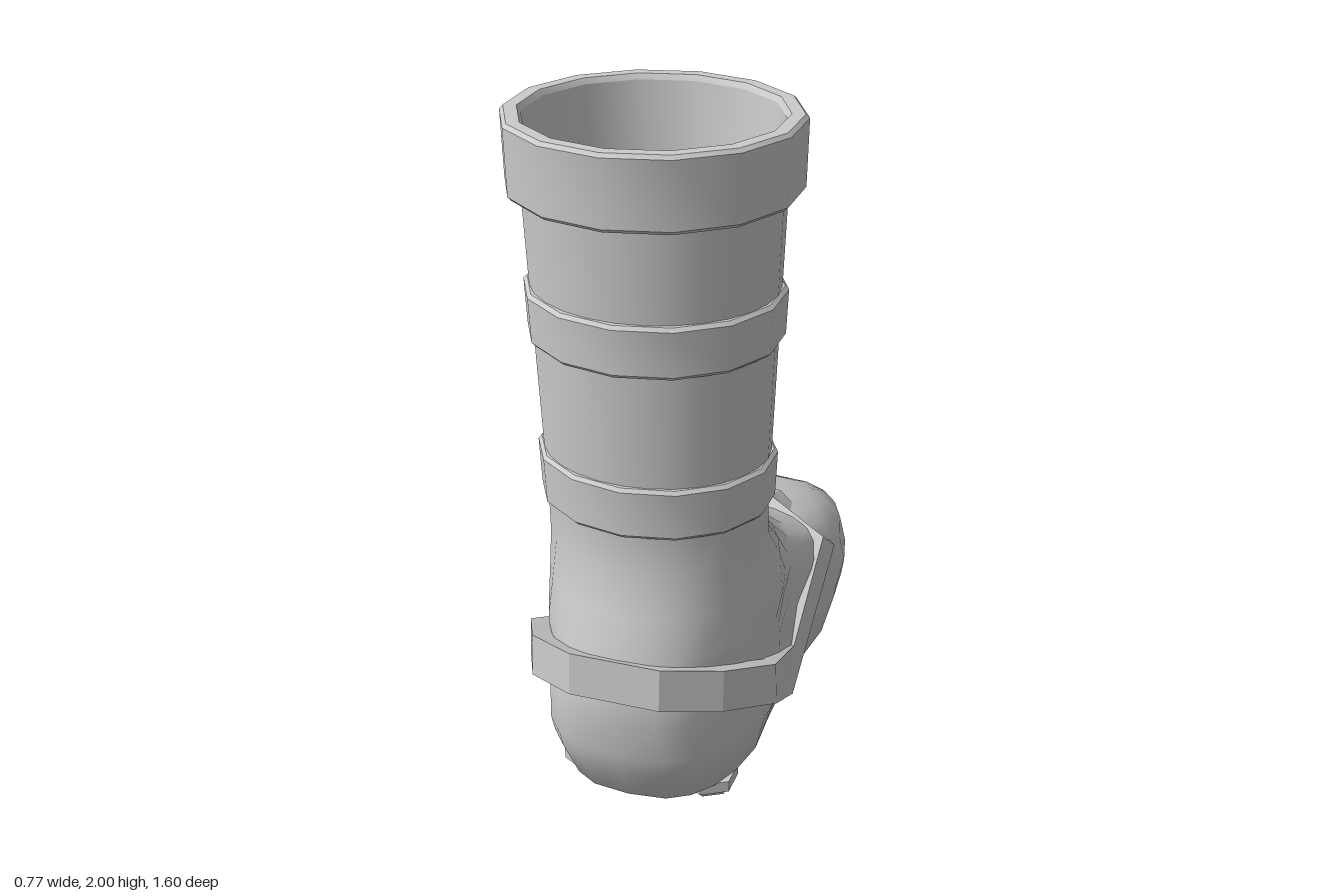
import * as THREE from 'three';
import { toCreasedNormals } from 'three/addons/utils/BufferGeometryUtils.js';

const material = new THREE.MeshStandardMaterial({ color: 0xcccccc });
const SIDES = 14;

function addMesh(parent, name, geometry) {
  const mesh = new THREE.Mesh(geometry, material);
  mesh.name = name;
  parent.add(mesh);
  return mesh;
}

// Skins equal-length closed rings of [x, y, z], optionally closing the first with a flat cap
function loft(rings, capCenter, crease) {
  const n = rings[0].length;
  const index = [];
  const points = rings.flat();
  for (let i = 0; i < rings.length - 1; i++) {
    for (let j = 0; j < n; j++) {
      const a = i * n + j, b = i * n + (j + 1) % n;
      index.push(a, b, b + n, a, b + n, a + n);
    }
  }
  if (capCenter) {
    points.push(capCenter);
    for (let j = 0; j < n; j++) index.push(points.length - 1, (j + 1) % n, j);
  }
  const geometry = new THREE.BufferGeometry();
  geometry.setAttribute('position', new THREE.Float32BufferAttribute(points.flat(), 3));
  geometry.setIndex(index);
  return toCreasedNormals(geometry, crease);
}

// Horizontal outline of the boot: rounded at both ends, pinched at the arch
function outline([y, zBack, zFront, width, waist, power]) {
  const ring = [];
  const count = SIDES * 2;
  for (let j = 0; j < count; j++) {
    const a = (j / count) * Math.PI * 2;
    const round = (v) => Math.sign(v) * Math.pow(Math.abs(v), 2 / power);
    const z = (zBack + zFront) / 2 + round(Math.cos(a)) * (zBack - zFront) / 2;
    const pinch = waist * Math.exp(-(((z - 0.08) / 0.2) ** 2));
    const s = Math.abs(Math.sin(a)) < 1e-6 ? 0 : round(Math.sin(a));
    ring.push([s * (width - pinch), y, z]);
  }
  return ring;
}

// Oval ring turned from a profile of [radius, y]
function turned(parent, name, profile, zCenter, zScale) {
  const lathe = new THREE.LatheGeometry(profile.map(([r, y]) => new THREE.Vector2(r, y)), SIDES);
  lathe.scale(1, 1, zScale).translate(0, 0, zCenter);
  return addMesh(parent, name, toCreasedNormals(lathe, 0.6));
}

function band(parent, name, y0, y1, r0, r1, zCenter, zScale) {
  const b = 0.01;
  turned(parent, name, [
    [r0 - 0.05, y0], [r0 - b, y0], [r0, y0 + b], [r1, y1 - b], [r1 - b, y1], [r1 - 0.05, y1],
  ], zCenter, zScale);
}

export function createModel() {
  const boot = new THREE.Group();
  boot.name = 'boot';

  // Foot and shaft: y, heel z, toe z, half width, arch pinch, squareness
  const layers = [
    [0.06, 0.68, -0.73, 0.29, 0.05, 2.9],
    [0.075, 0.70, -0.755, 0.305, 0.05, 2.9],
    [0.20, 0.755, -0.79, 0.338, 0.055, 3],
    [0.25, 0.768, -0.80, 0.345, 0.055, 3],
    [0.37, 0.78, -0.74, 0.345, 0.055, 2.8],
    [0.43, 0.78, -0.63, 0.345, 0.055, 2.6],
    [0.47, 0.775, -0.53, 0.343, 0.055, 2.4],
    [0.52, 0.77, -0.35, 0.342, 0.05, 2.3],
    [0.56, 0.76, -0.20, 0.338, 0.04, 2.2],
    [0.68, 0.72, -0.02, 0.324, 0.02, 2.1],
    [0.80, 0.68, 0.16, 0.31, 0, 2],
    [0.92, 0.685, 0.165, 0.31, 0, 2],
    [1.82, 0.745, 0.10, 0.347, 0, 2],
  ];
  addMesh(boot, 'footAndShaft', loft(layers.map(outline), [0, 0.06, 0], 0.7));

  // Shaft bands
  band(boot, 'lowerBand', 0.915, 1.065, 0.327, 0.333, 0.425, 0.87);
  band(boot, 'upperBand', 1.395, 1.54, 0.347, 0.353, 0.425, 0.92);

  // Cuff with a bevelled rim, and the tapering inside of the shaft
  turned(boot, 'cuff', [
    [0.31, 1.8], [0.38, 1.8], [0.39, 1.81], [0.395, 1.99], [0.385, 2], [0.35, 2], [0.34, 1.985],
  ], 0.423, 0.955);
  turned(boot, 'lining', [[0.34, 1.985], [0.235, 0.9], [0, 0.9]], 0.423, 0.955);

  // Strap around heel and instep: lower and upper outer edge of one half
  const half = [
    [[0.13, 0.45, 0.795], [0.13, 0.575, 0.785]],
    [[0.28, 0.42, 0.70], [0.28, 0.545, 0.69]],
    [[0.375, 0.335, 0.50], [0.37, 0.465, 0.50]],
    [[0.32, 0.11, 0.13], [0.315, 0.27, 0.11]],
    [[0.338, 0.42, -0.26], [0.325, 0.50, -0.165]],
    [[0.13, 0.535, -0.35], [0.13, 0.575, -0.24]],
  ];
  const flip = (edge) => edge.map(([x, y, z]) => [-x, y, z]);
  const path = [...half, ...[...half].reverse().map(flip)];
  const inward = ([x, y, z]) => [x * 0.87, y + (0.3 - y) * 0.13, z + (0.15 - z) * 0.13];
  const lower = path.map((e) => e[0]);
  const upper = path.map((e) => e[1]);
  addMesh(boot, 'strap',
    loft([lower, upper, upper.map(inward), lower.map(inward), lower], null, 0.5));

  // Two-step hexagonal studs under heel and toe
  for (const side of [-1, 1]) {
    for (const [name, z, bottom] of [['heelStud', 0.515, 0.018], ['toeStud', -0.53, 0]]) {
      const stud = new THREE.Group();
      stud.name = name;
      stud.position.set(side * 0.18, 0, z);
      const base = new THREE.CylinderGeometry(0.085, 0.085, 0.035, 6);
      addMesh(stud, 'studBase', toCreasedNormals(base.translate(0, 0.0575, 0), 0.5));
      const height = 0.045 - bottom;
      const tip = new THREE.CylinderGeometry(0.078, 0.062, height, 6);
      addMesh(stud, 'studTip', toCreasedNormals(tip.translate(0, bottom + height / 2, 0), 0.5));
      boot.add(stud);
    }
  }

  return boot;
}
